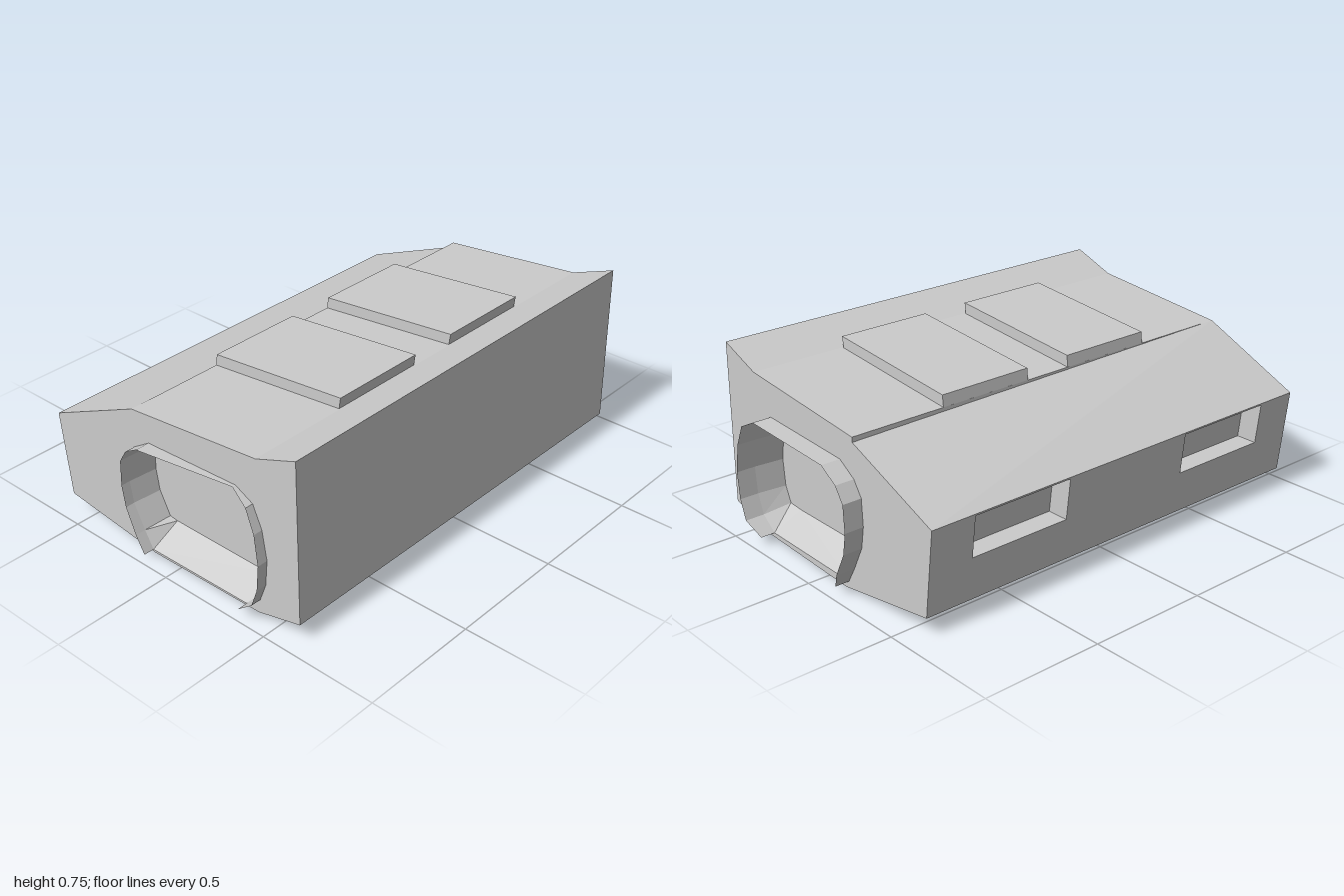
import * as THREE from 'three';

const FRONT = 0.94, BACK = -0.91;

// Body cross-sections (x, y), counter-clockwise from the front
const frontProfile = [[0.62, 0.08], [0.615, 0.75], [0.43, 0.68], [-0.19, 0.62], [-0.19, 0.62],
  [-0.625, 0.425], [-0.585, 0.075], [-0.12, 0.02], [0.42, 0.03]];
const backProfile = frontProfile.map((p) => [...p]);
backProfile[4][1] = 0.6;    // small roof step that fades out forward
backProfile[7] = [-0.11, 0];
backProfile[8] = [0.42, 0.022];
const SIDE_WALL = 5;        // profile edge that carries the windows

// Duct opening, from bottom right round the top to bottom left
const opening = [[0.36, 0.037], [0.43, 0.09], [0.46, 0.17], [0.47, 0.28], [0.45, 0.4], [0.41, 0.49], [0.33, 0.53],
  [-0.11, 0.51], [-0.19, 0.46], [-0.23, 0.4], [-0.235, 0.29], [-0.22, 0.2], [-0.17, 0.1], [-0.13, 0.03]];
// Uneven depth of the front lip, point by point
const frontLip = [0.985, 0.985, 0.985, 0.985, 0.98, 0.975, 0.955, 1, 0.985, 0.98, 0.98, 0.98, 0.985, 0.985];
const backLip = opening.map((p, i) => (i === 0 || i === 13 ? -0.97 : -0.99));

function material(doubleSided = false) {
  return new THREE.MeshStandardMaterial({
    color: 0xcccccc, flatShading: true, side: doubleSided ? THREE.DoubleSide : THREE.FrontSide,
  });
}

// Collects flat faces into one mesh
class Faces {
  constructor() { this.positions = []; }
  quad(a, b, c, d) { this.positions.push(...a, ...b, ...c, ...a, ...c, ...d); }
  // Flat panel at depth z, optionally with a hole, facing front or back
  panel(outline, z, facing, hole) {
    const toVectors = (pts) => pts.map(([x, y]) => new THREE.Vector2(x, y));
    const shape = new THREE.Shape(toVectors(outline));
    if (hole) shape.holes.push(new THREE.Path(toVectors(hole)));
    const geometry = new THREE.ShapeGeometry(shape);
    const pos = geometry.attributes.position, index = geometry.index.array;
    for (let i = 0; i < index.length; i += 3) {
      const order = facing > 0 ? [0, 1, 2] : [0, 2, 1];
      for (const k of order) this.positions.push(pos.getX(index[i + k]), pos.getY(index[i + k]), z);
    }
  }
  mesh(name, doubleSided) {
    const geometry = new THREE.BufferGeometry();
    geometry.setAttribute('position', new THREE.Float32BufferAttribute(this.positions, 3));
    geometry.computeVertexNormals();
    const mesh = new THREE.Mesh(geometry, material(doubleSided));
    mesh.name = name;
    return mesh;
  }
}

// Long hull with open duct holes at both ends
function makeBody() {
  const f = new Faces();
  frontProfile.forEach((a, i) => {
    if (i === SIDE_WALL) return;
    const j = (i + 1) % frontProfile.length;
    f.quad([...a, FRONT], [...backProfile[i], BACK], [...backProfile[j], BACK], [...frontProfile[j], FRONT]);
  });
  f.panel(frontProfile, FRONT, 1, opening);
  f.panel(backProfile, BACK, -1, opening);
  return f.mesh('body');
}

// Sloping side wall with two recessed windows
function makeWindowWall() {
  const f = new Faces();
  const [top, bottom] = [frontProfile[SIDE_WALL], frontProfile[SIDE_WALL + 1]];
  const at = (z, y, depth = 0) => {
    const t = (y - bottom[1]) / (top[1] - bottom[1]);
    return [bottom[0] + (top[0] - bottom[0]) * t + depth, y, z];
  };
  const zs = [BACK, -0.72, -0.28, 0.32, 0.76, FRONT];
  const ys = [bottom[1], 0.25, 0.418, top[1]];
  for (let i = 0; i < zs.length - 1; i++) {
    for (let j = 0; j < ys.length - 1; j++) {
      const corners = [[zs[i], ys[j]], [zs[i + 1], ys[j]], [zs[i + 1], ys[j + 1]], [zs[i], ys[j + 1]]];
      const isWindow = j === 1 && i % 2 === 1;
      const depth = isWindow ? 0.09 : 0;
      f.quad(...corners.map(([z, y]) => at(z, y, depth)));
      if (!isWindow) continue;
      corners.forEach((a, k) => {
        const b = corners[(k + 1) % 4];
        f.quad(at(...a), at(...b), at(...b, depth), at(...a, depth));
      });
    }
  }
  return f.mesh('windowWall');
}

// Thin lip round the duct, its recess and the end plate inside
function makeDuct(name, lip, faceZ, facing) {
  const group = new THREE.Group();
  group.name = name;
  const innerZ = faceZ - facing * 0.12;
  const last = opening.length - 1;
  const inner = opening.map(([x, y], i) => [0.117 + (x - 0.117) * 0.97, i === 0 || i === last ? 0.1 : Math.max(y, 0.105)]);
  const rim = new Faces(), recess = new Faces(), plate = new Faces();
  opening.forEach((a, i) => {
    const j = (i + 1) % opening.length, b = opening[j];
    // the lip stays open along the bottom
    if (i < last) rim.quad([...a, lip[i]], [...b, lip[j]], [...b, faceZ], [...a, faceZ]);
    recess.quad([...a, faceZ], [...b, faceZ], [...inner[j], innerZ], [...inner[i], innerZ]);
  });
  plate.panel(inner, innerZ, facing);
  group.add(rim.mesh('ductLip', true), recess.mesh('ductRecess', true), plate.mesh('ductPlate'));
  return group;
}

// Raised plate lying on the sloping roof
function makeRoofPanel(z0, z1) {
  const section = [[-0.19, 0.618], [0.425, 0.678], [0.432, 0.725], [-0.185, 0.667]];
  const shape = new THREE.Shape(section.map(([x, y]) => new THREE.Vector2(x, y)));
  const geometry = new THREE.ExtrudeGeometry(shape, { depth: z1 - z0, bevelEnabled: false });
  const mesh = new THREE.Mesh(geometry, material());
  mesh.position.z = z0;
  mesh.name = 'roofPanel';
  return mesh;
}

export function createModel() {
  const model = new THREE.Group();
  model.name = 'hullSection';
  model.add(
    makeBody(),
    makeWindowWall(),
    makeDuct('frontDuct', frontLip, FRONT, 1),
    makeDuct('backDuct', backLip, BACK, -1),
    makeRoofPanel(-0.505, -0.095),
    makeRoofPanel(0.11, 0.52),
  );
  return model;
}
